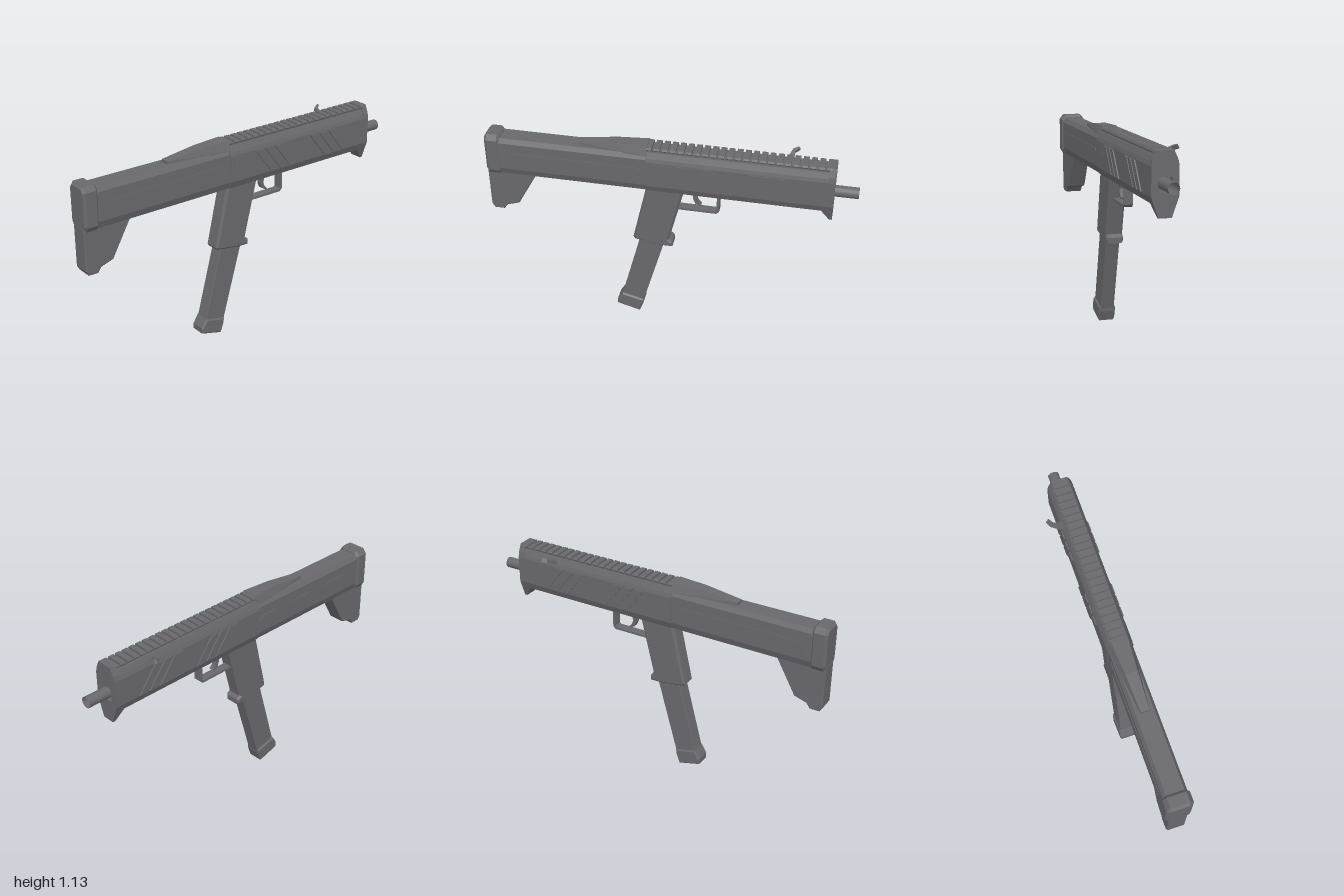
import * as THREE from 'three';
import { ConvexGeometry } from 'three/addons/geometries/ConvexGeometry.js';

export function createModel() {
  const root = new THREE.Group();
  const body = new THREE.Group();
  body.name = 'body';
  body.position.z = 0.034;
  root.add(body);

  const metal = new THREE.MeshStandardMaterial({ color: 0x69686d });
  metal.name = 'gunmetal grey';
  const tubeMetal = new THREE.MeshStandardMaterial({ color: 0x69686d, side: THREE.DoubleSide });
  tubeMetal.name = 'barrel grey';

  const add = (name, geo, mat = metal) => {
    const m = new THREE.Mesh(geo, mat);
    m.name = name;
    body.add(m);
    return m;
  };
  const outline = (pts) => new THREE.Shape(pts.map(([x, y]) => new THREE.Vector2(x, y)));
  const extrude = (shape, depth, bevel) => new THREE.ExtrudeGeometry(shape, {
    depth: depth - 2 * bevel, bevelEnabled: bevel > 0, bevelSize: bevel, bevelThickness: bevel,
    bevelOffset: -bevel, bevelSegments: 1, curveSegments: 6,
  }).translate(0, 0, -depth / 2 + bevel);
  // Side outline (x, y) thickened across z
  const slab = (name, pts, half, bevel = 0) => add(name, extrude(outline(pts), half * 2, bevel));
  // Right half of a cross-section (z, y), mirrored and swept from x0 to x1
  const section = (pts) => outline([...pts, ...pts.map(([z, y]) => [-z, y]).reverse()]);
  const sweep = (name, shape, x0, x1, bevel = 0) =>
    add(name, extrude(shape, x1 - x0, bevel).rotateY(Math.PI / 2).translate((x0 + x1) / 2, 0, 0));

  // Stock, butt pad and toe
  sweep('stock', section([[0.05, 0.87], [0.0635, 0.908], [0.0635, 1.065], [0.048, 1.09]]), -0.94, -0.11);
  sweep('buttPad', section([[0.055, 0.868], [0.071, 0.895], [0.071, 1.08], [0.05, 1.108]]), -1, -0.915, 0.014);
  slab('stockToe', [[-1, 0.88], [-1, 0.65], [-0.985, 0.625], [-0.93, 0.625], [-0.91, 0.653],
    [-0.84, 0.675], [-0.725, 0.88]], 0.05, 0.006);
  for (const s of [1, -1]) {
    const panel = slab('stockPanel', [[-0.87, 0.915], [-0.11, 0.915], [-0.11, 0.97], [-0.15, 1.01],
      [-0.87, 1.01]], 0.002);
    panel.position.z = s * 0.0645;
  }

  // Receiver
  sweep('receiver', section([[0.055, 0.87], [0.07, 0.908], [0.07, 1.055], [0.064, 1.075], [0.05, 1.105]]),
    -0.115, 0.84);

  // Front plate with barrel opening
  const plate = section([[0.057, 0.87], [0.07, 0.908], [0.07, 1.055], [0.064, 1.085], [0.044, 1.13]]);
  const hole = new THREE.Path();
  const hw = 0.037, r = 0.012, cy = 0.966;
  hole.absarc(hw - r, cy + hw - r, r, 0, Math.PI / 2);
  hole.absarc(-hw + r, cy + hw - r, r, Math.PI / 2, Math.PI);
  hole.absarc(-hw + r, cy - hw + r, r, Math.PI, Math.PI * 1.5);
  hole.absarc(hw - r, cy - hw + r, r, Math.PI * 1.5, Math.PI * 2);
  plate.holes.push(hole);
  sweep('frontPlate', plate, 0.84, 0.875);
  add('frontSpur', new ConvexGeometry([
    [0.875, 0.9, 0.067], [0.875, 0.805, 0.034], [0.86, 0.805, 0.034], [0.815, 0.872, 0.057], [0.815, 0.9, 0.067],
  ].flatMap(([x, y, z]) => [new THREE.Vector3(x, y, z), new THREE.Vector3(x, y, -z)])).translate(0, 0, 0));
  add('barrel', new THREE.CylinderGeometry(0.03, 0.03, 0.17, 20, 1, true)
    .rotateZ(Math.PI / 2).translate(0.915, 0.968, 0), tubeMetal);

  // Slotted top rail
  sweep('railBase', section([[0.04, 1.1], [0.04, 1.117]]), -0.115, 0.87);
  const teeth = 23, pitch = 0.985 / teeth;
  for (let i = 0; i < teeth; i++) {
    const x = -0.115 + i * pitch;
    sweep('railTooth', section([[0.046, 1.113], [0.05, 1.12], [0.044, 1.13]]), x, x + pitch * 0.68);
  }

  // Tapered riser behind the rail
  add('riser', new ConvexGeometry([
    [-0.485, 1.085, 0.026], [-0.485, 1.106, 0.023], [-0.28, 1.13, 0.032], [-0.28, 1.085, 0.045],
    [-0.11, 1.134, 0.044], [-0.11, 1.085, 0.062],
  ].flatMap(([x, y, z]) => [new THREE.Vector3(x, y, z), new THREE.Vector3(x, y, -z)])));

  // Slanted side ribs in two groups per side
  for (const s of [1, -1]) for (const x0 of [0.05, 0.435]) for (let i = 0; i < 3; i++) {
    const x = x0 + i * 0.066;
    const rib = slab('sideRib', [[x, 1.05], [x + 0.107, 0.912], [x + 0.16, 0.912], [x + 0.053, 1.05]], 0.004);
    rib.position.z = s * 0.073;
  }

  // Port cover on the left side, slot for the charging handle on the other
  const port = slab('ejectionPort', [[-0.092, 0.985], [0.03, 0.985], [0.03, 1.043], [-0.092, 1.043]], 0.003);
  port.position.z = 0.0705;
  const slot = add('handleSlot', new THREE.BoxGeometry(0.15, 0.016, 0.006));
  slot.position.set(0.625, 1.083, -0.06);
  slot.rotation.x = 0.44;

  // Hooked charging handle
  const handle = add('chargingHandle', extrude(outline([[0.61, -0.01], [0.66, -0.01], [0.645, 0.03],
    [0.648, 0.055], [0.672, 0.076], [0.662, 0.084], [0.635, 0.068], [0.622, 0.035]]), 0.022, 0));
  handle.rotation.x = -1.1;
  handle.position.set(0, 1.08, -0.064);

  // Grip with flared foot
  slab('grip', [[-0.115, 0.89], [-0.195, 0.535], [-0.185, 0.52], [-0.04, 0.497], [0.025, 0.497],
    [0.025, 0.528], [0.005, 0.545], [0.09, 0.89]], 0.048, 0.012);

  // Magazine and base
  slab('magazine', [[-0.15, 0.56], [-0.27, 0.1], [-0.148, 0.065], [-0.01, 0.56]], 0.039, 0.003);
  slab('magazineBase', [[-0.266, 0.118], [-0.296, 0.068], [-0.296, 0.036], [-0.167, 0],
    [-0.146, 0.058], [-0.144, 0.086]], 0.048, 0.008);

  // Trigger guard and trigger
  slab('triggerGuard', [[0.05, 0.745], [0.262, 0.745], [0.277, 0.76], [0.277, 0.875], [0.263, 0.875],
    [0.263, 0.765], [0.256, 0.758], [0.05, 0.758]], 0.024);
  slab('trigger', [[0.135, 0.875], [0.132, 0.82], [0.145, 0.79], [0.17, 0.775], [0.178, 0.782],
    [0.16, 0.8], [0.152, 0.825], [0.165, 0.875]], 0.014);

  return root;
}
